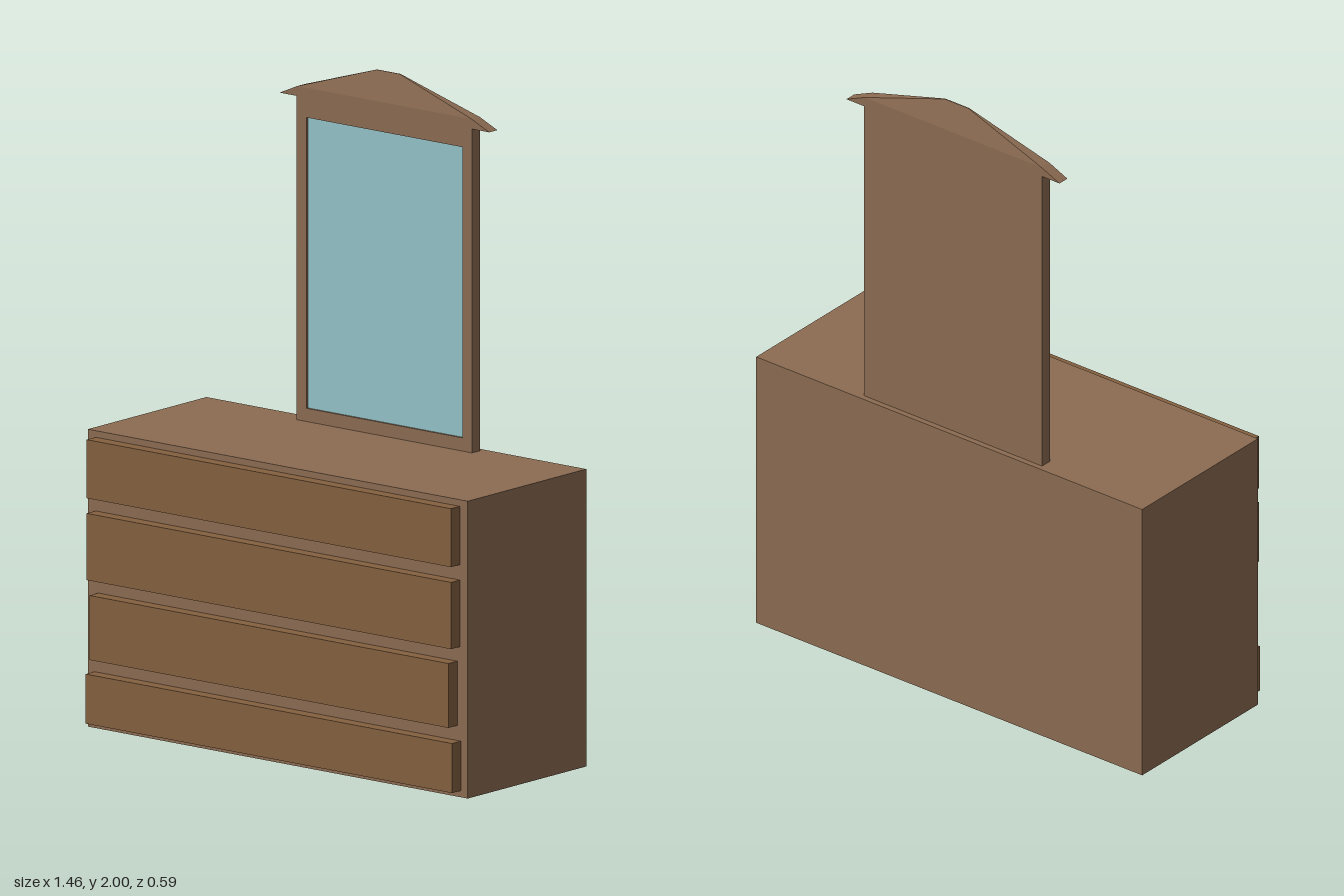
import * as THREE from 'three';

const wood = new THREE.MeshStandardMaterial({ color: 0x8c6c52 });
const drawerWood = new THREE.MeshStandardMaterial({ color: 0x856040 });
const glass = new THREE.MeshStandardMaterial({ color: 0x93c3c9 });

// Box given by its minimum and maximum corners
function box(name, material, [x0, y0, z0], [x1, y1, z1]) {
  const mesh = new THREE.Mesh(new THREE.BoxGeometry(x1 - x0, y1 - y0, z1 - z0), material);
  mesh.name = name;
  mesh.position.set((x0 + x1) / 2, (y0 + y1) / 2, (z0 + z1) / 2);
  return mesh;
}

const outline = points => points.map(([x, y]) => new THREE.Vector2(x, y));

// Flat outline extruded from z0 to z1
function slab(name, shape, z0, z1) {
  const geometry = new THREE.ExtrudeGeometry(shape, { depth: z1 - z0, bevelEnabled: false });
  geometry.translate(0, 0, z0);
  const mesh = new THREE.Mesh(geometry, wood);
  mesh.name = name;
  return mesh;
}

export function createModel() {
  const model = new THREE.Group();
  model.name = 'dresserWithMirror';

  // Chest body
  model.add(box('body', wood, [-0.73, 0, -0.293], [0.73, 0.9, 0.252]));

  // Drawer fronts: half width, bottom, top
  const drawers = [
    [0.704, 0.02, 0.17],
    [0.69, 0.215, 0.41],
    [0.70, 0.455, 0.657],
    [0.70, 0.703, 0.88],
  ];
  drawers.forEach(([w, y0, y1], i) => {
    model.add(box(`drawer${i + 1}`, drawerWood, [-w, y0, 0.252], [w, y1, 0.293]));
  });

  // Mirror: solid back, frame with an opening, slightly recessed glass
  const mirror = new THREE.Group();
  mirror.name = 'mirror';
  const zBack = -0.275, zFront = -0.238, zRecess = -0.248;
  mirror.add(box('mirrorBack', wood, [-0.337, 0.9, zBack], [0.337, 1.88, zRecess]));
  const frame = new THREE.Shape(outline([[-0.337, 0.9], [0.337, 0.9], [0.337, 1.88], [-0.337, 1.88]]));
  frame.holes.push(new THREE.Path(outline([[-0.3, 0.94], [-0.3, 1.82], [0.3, 1.82], [0.3, 0.94]])));
  mirror.add(slab('mirrorFrame', frame, zRecess, zFront));
  mirror.add(box('mirrorGlass', glass, [-0.3, 0.94, zRecess], [0.3, 1.82, zRecess + 0.003]));

  // Crown: full-depth eaves below, a wedge tapering to a thin ridge above
  const eaves = new THREE.Shape(outline([[-0.403, 1.88], [0.403, 1.88], [0.335, 1.91], [-0.335, 1.91]]));
  mirror.add(slab('crownEaves', eaves, zBack, zFront));
  const top = new THREE.Shape(outline([[-0.335, 1.91], [0.335, 1.91], [0.045, 2], [-0.045, 2]]));
  const wedge = slab('crownTop', top, zBack, zFront);
  const p = wedge.geometry.attributes.position;
  const zMid = (zBack + zFront) / 2;
  for (let i = 0; i < p.count; i++) {
    if (p.getY(i) > 1.95) p.setZ(i, zMid + (p.getZ(i) - zMid) * 0.08);
  }
  wedge.geometry.computeVertexNormals();
  mirror.add(wedge);
  model.add(mirror);

  return model;
}
